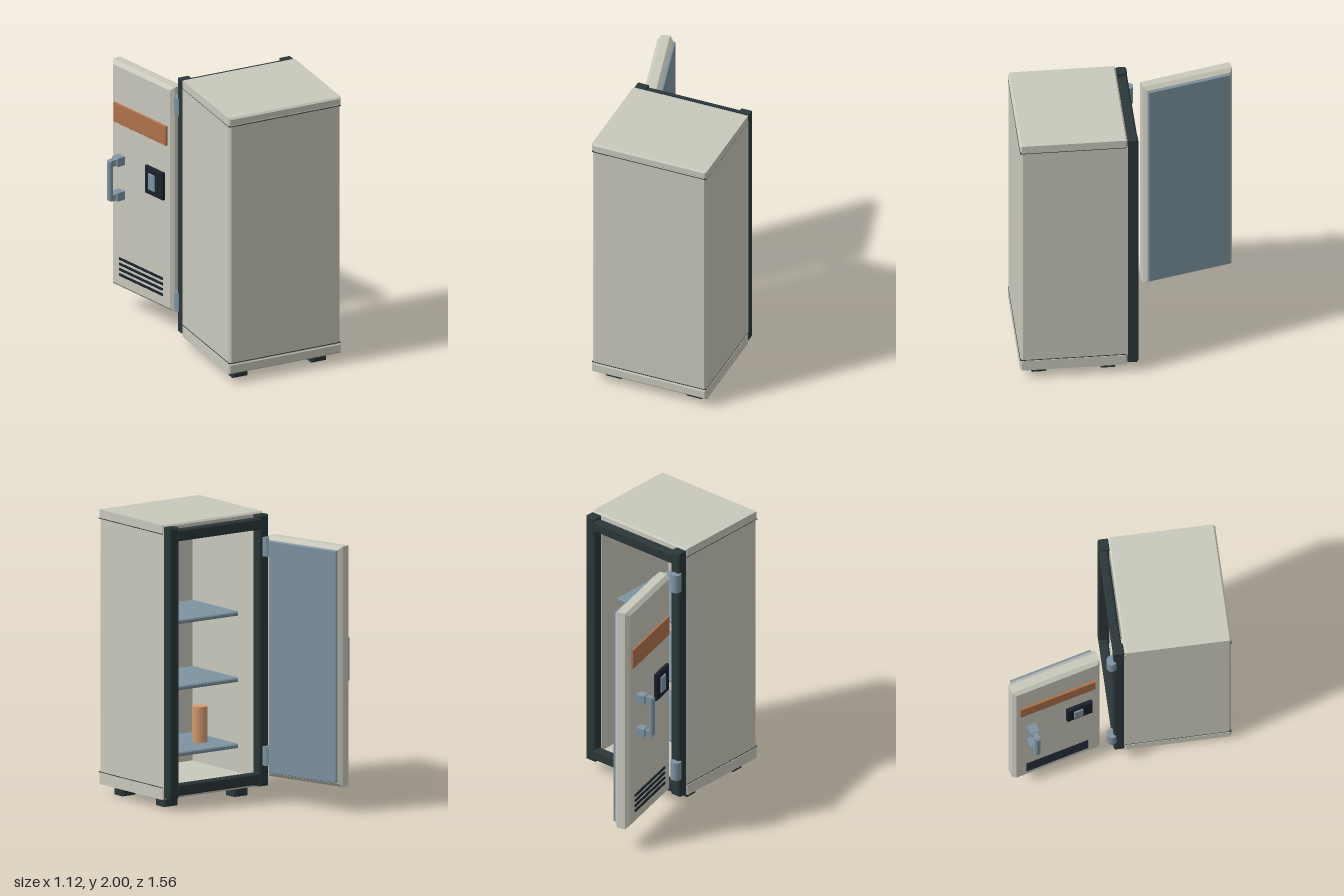
import * as THREE from 'three';

const mat = (color) => new THREE.MeshStandardMaterial({ color, flatShading: true });
const M = {
  shell: mat(0xc8c8bc), dark: mat(0x2a3638), steel: mat(0x7d93a1),
  plate: mat(0xb0714a), black: mat(0x1a212b), can: mat(0xd49a6c),
};

// Box with chamfered edges, centred on its position
function block(parent, name, material, w, h, d, x, y, z, b = 0.006) {
  const a = w / 2 - b, c = h / 2 - b;
  const s = new THREE.Shape([[-a, -c], [a, -c], [a, c], [-a, c]].map((p) => new THREE.Vector2(...p)));
  const g = new THREE.ExtrudeGeometry(s, {
    depth: d - 2 * b, bevelEnabled: true, bevelThickness: b, bevelSize: b, bevelSegments: 1,
  });
  g.translate(0, 0, -d / 2 + b);
  const m = new THREE.Mesh(g, material);
  m.name = name;
  m.position.set(x, y, z);
  parent.add(m);
  return m;
}

function cylinder(parent, name, material, r, h, x, y, z, sides = 20) {
  const m = new THREE.Mesh(new THREE.CylinderGeometry(r, r, h, sides), material.clone());
  m.material.flatShading = false;
  m.name = name;
  m.position.set(x, y, z);
  parent.add(m);
}

function group(parent, name) {
  const g = new THREE.Group();
  g.name = name;
  parent.add(g);
  return g;
}

export function createModel() {
  const model = new THREE.Group();
  model.name = 'storageCabinet';
  const cx = 0.1225; // middle of the cabinet body

  // Walls: a U-shaped plan with chamfered outer corners, drawn as (x, -z)
  const body = group(model, 'cabinetBody');
  const l = -0.303, r = 0.548, f = 0.03, k = 0.777, c = 0.015, t = 0.08, tb = 0.045;
  const plan = [
    [l, f], [l + t, f], [l + t, k - tb], [r - t, k - tb], [r - t, f], [r, f],
    [r, k - c], [r - c, k], [l + c, k], [l, k - c],
  ];
  const wallGeo = new THREE.ExtrudeGeometry(
    new THREE.Shape(plan.map(([x, z]) => new THREE.Vector2(x, -z))),
    { depth: 1.80, bevelEnabled: false });
  wallGeo.rotateX(-Math.PI / 2);
  const walls = new THREE.Mesh(wallGeo, M.shell);
  walls.name = 'walls';
  walls.position.y = 0.145;
  body.add(walls);

  // Caps above and below, with a thin seam against the walls
  block(body, 'topCap', M.shell, 0.86, 0.06, 0.745, cx, 1.97, 0.4075, 0.012);
  block(body, 'baseCap', M.shell, 0.86, 0.08, 0.745, cx, 0.11, 0.4075, 0.012);
  for (const y of [1.936, 0.154]) {
    block(body, 'seam', M.dark, 0.854, 0.005, 0.04, cx, y, 0.76, 0.001);
    for (const x of [l, r]) block(body, 'seam', M.dark, 0.004, 0.005, 0.74, x, y, 0.41, 0.001);
  }

  // Dark frame around the opening
  const frame = group(model, 'doorFrame');
  for (const x of [-0.265, 0.51]) block(frame, 'framePost', M.dark, 0.08, 1.905, 0.08, x, 1.0375, 0, 0.01);
  for (const y of [1.93, 0.14]) block(frame, 'frameRail', M.dark, 0.73, 0.08, 0.065, cx, y, -0.0075, 0.01);

  // Shelves and a can on the lowest one
  const inside = group(model, 'interior');
  for (const y of [0.335, 0.80, 1.265]) block(inside, 'shelf', M.steel, 0.69, 0.03, 0.54, cx, y, 0.467, 0.008);
  cylinder(inside, 'can', M.can, 0.055, 0.25, -0.06, 0.475, 0.43, 12);

  // Feet
  for (const x of [-0.18, 0.4225])
    for (const z of [0.165, 0.645]) block(model, 'foot', M.dark, 0.115, 0.075, 0.115, x, 0.0375, z, 0.012);

  // Hinge barrels
  for (const y of [0.3, 1.77]) cylinder(model, 'hinge', M.steel, 0.037, 0.135, -0.285, y, -0.05);

  // Open door: local +z is its outer face, local +x points to the hinges
  const door = group(model, 'door');
  door.position.set(-0.333, 0, -0.458);
  door.rotation.y = -1.316;
  block(door, 'doorPanel', M.shell, 0.655, 1.69, 0.11, 0, 1.025, 0, 0.025);
  block(door, 'innerLiner', M.steel, 0.60, 1.63, 0.025, 0, 1.025, -0.06, 0.004);
  block(door, 'labelPlate', M.plate, 0.56, 0.145, 0.018, 0, 1.4975, 0.063, 0.003);

  // Handle
  const handle = group(door, 'handle');
  for (const y of [0.905, 1.165]) block(handle, 'handleMount', M.steel, 0.065, 0.062, 0.085, -0.195, y, 0.095, 0.012);
  for (const y of [0.905, 1.165]) block(handle, 'handleArm', M.steel, 0.04, 0.045, 0.06, -0.195, y, 0.15, 0.008);
  block(handle, 'handleGrip', M.steel, 0.04, 0.3, 0.036, -0.195, 1.035, 0.172, 0.01);

  // Lock unit with a raised plate
  block(door, 'lockHousing', M.black, 0.19, 0.205, 0.03, 0.16, 1.11, 0.068, 0.006);
  block(door, 'lockPlate', M.steel, 0.065, 0.12, 0.014, 0.148, 1.11, 0.087, 0.003);

  // Vent slots
  for (let i = 0; i < 4; i++) block(door, 'ventSlot', M.black, 0.46, 0.018, 0.014, 0, 0.285 + i * 0.04, 0.058, 0.004);

  return model;
}
